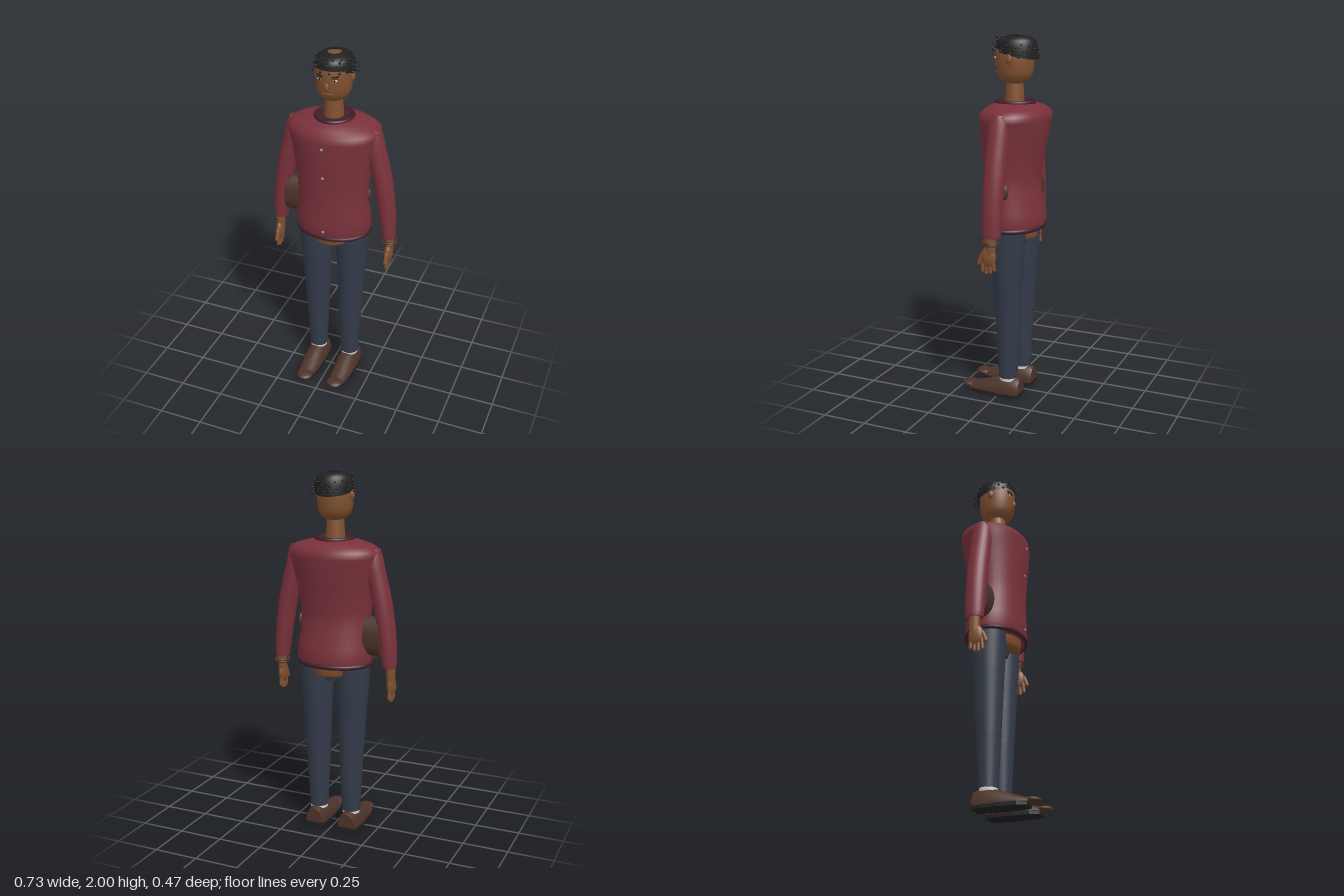
import * as THREE from 'three';

const mat = (name, color) => {
  const m = new THREE.MeshStandardMaterial({ color });
  m.name = name;
  return m;
};
const M = {
  sweater: mat('maroon knit', 0x7a313b),
  trim: mat('dark plum trim', 0x3f1e2a),
  denim: mat('slate denim', 0x333b49),
  skin: mat('brown skin', 0x80502f),
  leather: mat('dark brown leather', 0x4c332a),
  black: mat('soft black', 0x202021),
  white: mat('off white', 0xd6d0c8),
  lip: mat('muted red', 0x873c38),
  metal: mat('grey metal', 0x9a98a0),
};
M.black.side = THREE.DoubleSide;

const CZ = -0.048; // body axis

// Lofts ellipses upward; each row is [y, cx, cz, rx, rz, tilt]
function loft(rows, { seg = 32, caps = true } = {}) {
  const pos = [], idx = [];
  const ring = ([y, cx, cz, rx, rz, tilt = 0]) => {
    const start = pos.length / 3;
    for (let j = 0; j < seg; j++) {
      const a = (j / seg) * Math.PI * 2;
      pos.push(cx + rx * Math.cos(a), y + tilt * Math.sin(a), cz + rz * Math.sin(a));
    }
    return start;
  };
  const starts = rows.map(ring);
  for (let i = 0; i < rows.length - 1; i++) {
    for (let j = 0; j < seg; j++) {
      const k = (j + 1) % seg, a = starts[i], b = starts[i + 1];
      idx.push(a + j, b + j, a + k, a + k, b + j, b + k);
    }
  }
  if (caps) {
    for (const [row, top] of [[rows[0], false], [rows[rows.length - 1], true]]) {
      const s = ring(row), c = pos.length / 3;
      pos.push(row[1], row[0], row[2]);
      for (let j = 0; j < seg; j++) {
        const k = (j + 1) % seg;
        idx.push(c, s + (top ? k : j), s + (top ? j : k));
      }
    }
  }
  const g = new THREE.BufferGeometry();
  g.setAttribute('position', new THREE.Float32BufferAttribute(pos, 3));
  g.setIndex(idx);
  g.computeVertexNormals();
  return g;
}

export function createModel() {
  const model = new THREE.Group();
  model.name = 'standingMan';
  const add = (name, geo, material, p = [0, 0, 0], scale = [1, 1, 1]) => {
    const m = new THREE.Mesh(geo, material);
    m.name = name;
    m.position.set(...p);
    m.scale.set(...scale);
    model.add(m);
    return m;
  };
  const ball = new THREE.SphereGeometry(1, 20, 14);
  const ellipsoid = (name, material, p, r) => add(name, ball, material, p, r);
  const band = (name, material, p, rx, rz, tube) => {
    const g = new THREE.TorusGeometry(1, tube / rx, 10, 40).rotateX(Math.PI / 2);
    return add(name, g, material, p, [rx, rx, rz]);
  };

  // Sweater: rows of [y, half width, front z, back z]
  const body = [
    [0.965, 0.2, 0.108, -0.2], [1.0, 0.213, 0.122, -0.213], [1.07, 0.21, 0.12, -0.207],
    [1.18, 0.197, 0.115, -0.18], [1.27, 0.2, 0.118, -0.18], [1.4, 0.217, 0.128, -0.205],
    [1.5, 0.238, 0.135, -0.225], [1.56, 0.253, 0.137, -0.234], [1.595, 0.256, 0.132, -0.235],
    [1.62, 0.215, 0.108, -0.21], [1.64, 0.145, 0.073, -0.172], [1.65, 0.1, 0.05, -0.148],
  ];
  add('sweater', loft(body.map(([y, w, f, b]) => [y, 0, (f + b) / 2, w, (f - b) / 2]), { seg: 40 }), M.sweater);
  band('hem', M.trim, [0, 0.975, -0.046], 0.203, 0.158, 0.013);
  band('collar', M.trim, [0, 1.65, CZ], 0.097, 0.1, 0.012);
  add('collarInside', new THREE.CylinderGeometry(0.092, 0.092, 0.004, 32), M.trim, [0, 1.652, CZ]);
  for (const [y, z] of [[1.53, 0.137], [1.355, 0.125], [1.02, 0.123]]) {
    ellipsoid('button', M.metal, [0, y, z], [0.008, 0.008, 0.005]);
  }

  // Neck and head
  add('neck', new THREE.CylinderGeometry(0.045, 0.055, 0.15, 24), M.skin, [0, 1.7, CZ + 0.006]);
  const skull = [
    [1.747, 0.035], [1.755, 0.055], [1.775, 0.079], [1.81, 0.092], [1.87, 0.097],
    [1.93, 0.096], [1.97, 0.08], [1.99, 0.054], [1.995, 0.03],
  ];
  add('head', loft(skull.map(([y, r]) => [y, 0, CZ + 0.005, r, r * 1.08])), M.skin);

  // Hair cap with an open crown
  add('hairCap', loft([
    [1.9, 0, -0.054, 0.1, 0.113, 0.023], [1.945, 0, -0.054, 0.102, 0.114, 0.01],
    [1.975, 0, -0.053, 0.092, 0.103], [1.992, 0, -0.051, 0.07, 0.079],
    [2.0, 0, -0.049, 0.036, 0.038],
  ], { caps: false }), M.black);
  // Loose curls around and on the cap
  const curl = new THREE.SphereGeometry(0.0075, 8, 6);
  for (let i = 0; i < 64; i++) {
    const a = i * 2.39996, loose = i % 2 === 0;
    const y = (loose ? 1.9 : 1.93) + ((i * 7) % 13) / 13 * 0.05 + 0.018 * Math.sin(a);
    const k = loose ? 1.1 + ((i * 5) % 7) * 0.014 : y > 1.955 ? 0.95 : 1;
    const s = 0.65 + ((i * 3) % 5) * 0.1;
    add('curl', curl, M.black, [0.102 * k * Math.cos(a), y, -0.053 + 0.113 * k * Math.sin(a)], [s, s, s]);
  }

  // Face
  const faceZ = (x) => CZ + 0.005 + 0.1045 * Math.sqrt(1 - (x / 0.097) ** 2);
  ellipsoid('nose', M.skin, [0, 1.845, faceZ(0)], [0.011, 0.022, 0.011]);
  ellipsoid('noseShade', M.black, [0, 1.829, faceZ(0) + 0.006], [0.006, 0.0025, 0.003]);
  ellipsoid('mouth', M.lip, [0, 1.806, faceZ(0) - 0.007], [0.034, 0.005, 0.005]);

  // Hips below the sweater
  add('waist', loft([[0.91, 0, -0.043, 0.115, 0.122], [0.925, 0, -0.043, 0.133, 0.131], [0.97, 0, -0.043, 0.14, 0.135]]), M.skin);
  add('trouserSeat', new THREE.CylinderGeometry(0.085, 0.065, 0.07, 24), M.denim, [0, 0.91, CZ]);

  // Shoe upper: rows of [z, half width, height], flattened on the ground side
  const upper = [
    [-0.122, 0.05, 0.1], [-0.09, 0.058, 0.112], [-0.02, 0.062, 0.108],
    [0.05, 0.06, 0.085], [0.12, 0.055, 0.06], [0.175, 0.045, 0.045],
  ];
  const soleOutline = new THREE.Shape([
    [0.05, -0.124], [0.06, -0.06], [0.062, 0.03], [0.058, 0.12], [0.04, 0.17],
    [-0.04, 0.17], [-0.058, 0.12], [-0.062, 0.03], [-0.06, -0.06], [-0.05, -0.124],
  ].map(([x, y]) => new THREE.Vector2(x, y)));
  const soleGeo = new THREE.ExtrudeGeometry(soleOutline, { depth: 0.02, bevelEnabled: false }).rotateX(Math.PI / 2);
  const upperGeo = loft(upper.map(([z, w, h]) => [z, 0, -0.018, w, h - 0.018])).rotateX(Math.PI / 2);
  const up = upperGeo.attributes.position;
  for (let i = 0; i < up.count; i++) up.setY(i, Math.max(up.getY(i), 0.016));
  upperGeo.computeVertexNormals();

  for (const s of [-1, 1]) {
    const side = s > 0 ? 'left' : 'right';

    // Eye, brow and ear
    const ez = faceZ(0.04);
    ellipsoid(side + 'EyeWhite', M.white, [s * 0.04, 1.885, ez], [0.015, 0.0065, 0.004]);
    ellipsoid(side + 'Pupil', M.black, [s * 0.04, 1.885, ez + 0.003], [0.006, 0.006, 0.003]);
    const lash = add(side + 'Lash', new THREE.BoxGeometry(0.034, 0.003, 0.006), M.black, [s * 0.04, 1.892, ez]);
    const brow = add(side + 'Brow', new THREE.BoxGeometry(0.038, 0.006, 0.008), M.black, [s * 0.042, 1.904, ez]);
    lash.rotation.y = brow.rotation.y = s * 0.4;
    brow.rotation.z = s * 0.08;
    ellipsoid(side + 'Ear', M.skin, [s * 0.099, 1.88, CZ], [0.012, 0.028, 0.018]);

    // Sleeve: rows of [y, centre x, half width, half depth]
    const sleeve = [
      [0.972, 0.32, 0.036, 0.048], [1.0, 0.32, 0.039, 0.053], [1.1, 0.31, 0.046, 0.056],
      [1.2, 0.297, 0.05, 0.058], [1.3, 0.28, 0.052, 0.059], [1.4, 0.257, 0.054, 0.059],
      [1.5, 0.231, 0.054, 0.058], [1.57, 0.222, 0.048, 0.055], [1.605, 0.225, 0.03, 0.035],
    ];
    add(side + 'Sleeve', loft(sleeve.map(([y, x, w, d]) => [y, s * x, CZ, w, d]), { seg: 24 }), M.sweater);

    // Hand
    const hx = s * 0.327;
    add(side + 'Wrist', new THREE.CylinderGeometry(0.026, 0.022, 0.09, 16), M.skin, [hx, 0.935, -0.045], [1, 1, 1.25]);
    ellipsoid(side + 'Palm', M.skin, [hx, 0.87, -0.035], [0.022, 0.058, 0.042]);
    for (let f = 0; f < 4; f++) {
      const len = [0.055, 0.065, 0.06, 0.045][f];
      const finger = add(side + 'Finger', new THREE.CapsuleGeometry(0.0095, len, 4, 10), M.skin, [hx, 0.845 - len / 2, -0.001 - f * 0.021]);
      finger.rotation.x = (f - 1.5) * 0.06;
    }
    const thumb = add(side + 'Thumb', new THREE.CapsuleGeometry(0.011, 0.05, 4, 10), M.skin, [hx, 0.855, 0.012]);
    thumb.rotation.x = -0.35;

    // Trouser leg and sock
    add(side + 'TrouserLeg', loft([
      [0.11, s * 0.099, CZ, 0.052, 0.052], [0.4, s * 0.1, CZ, 0.066, 0.066],
      [0.75, s * 0.105, CZ, 0.083, 0.085], [0.9, s * 0.106, CZ, 0.093, 0.096],
      [0.98, s * 0.107, CZ, 0.097, 0.098],
    ]), M.denim);
    add(side + 'Sock', new THREE.CylinderGeometry(0.049, 0.049, 0.03, 24), M.white, [s * 0.099, 0.108, CZ]);

    // Shoe
    add(side + 'ShoeUpper', upperGeo, M.leather, [s * 0.099, 0, 0]);
    add(side + 'ShoeSole', soleGeo, M.black, [s * 0.099, 0.02, 0]);
    ellipsoid(side + 'ShoeToe', M.leather, [s * 0.095, 0.03, 0.186], [0.047, 0.019, 0.048]);
  }

  // Bracelet on the left wrist
  for (const y of [0.938, 0.948]) band('bracelet', M.leather, [0.327, y, -0.045], 0.036, 0.042, 0.006);

  // Hip bag tucked under the right arm, with its clasp on the other side
  const bag = new THREE.CylinderGeometry(1, 1, 0.09, 32).rotateZ(Math.PI / 2);
  add('hipBag', bag, M.leather, [-0.23, 1.135, CZ], [1, 0.108, 0.062]);
  add('bagTab', new THREE.BoxGeometry(0.035, 0.03, 0.03), M.leather, [-0.232, 1.035, CZ]);
  ellipsoid('bagClasp', M.leather, [0.195, 1.19, CZ - 0.02], [0.013, 0.04, 0.02]);

  return model;
}
